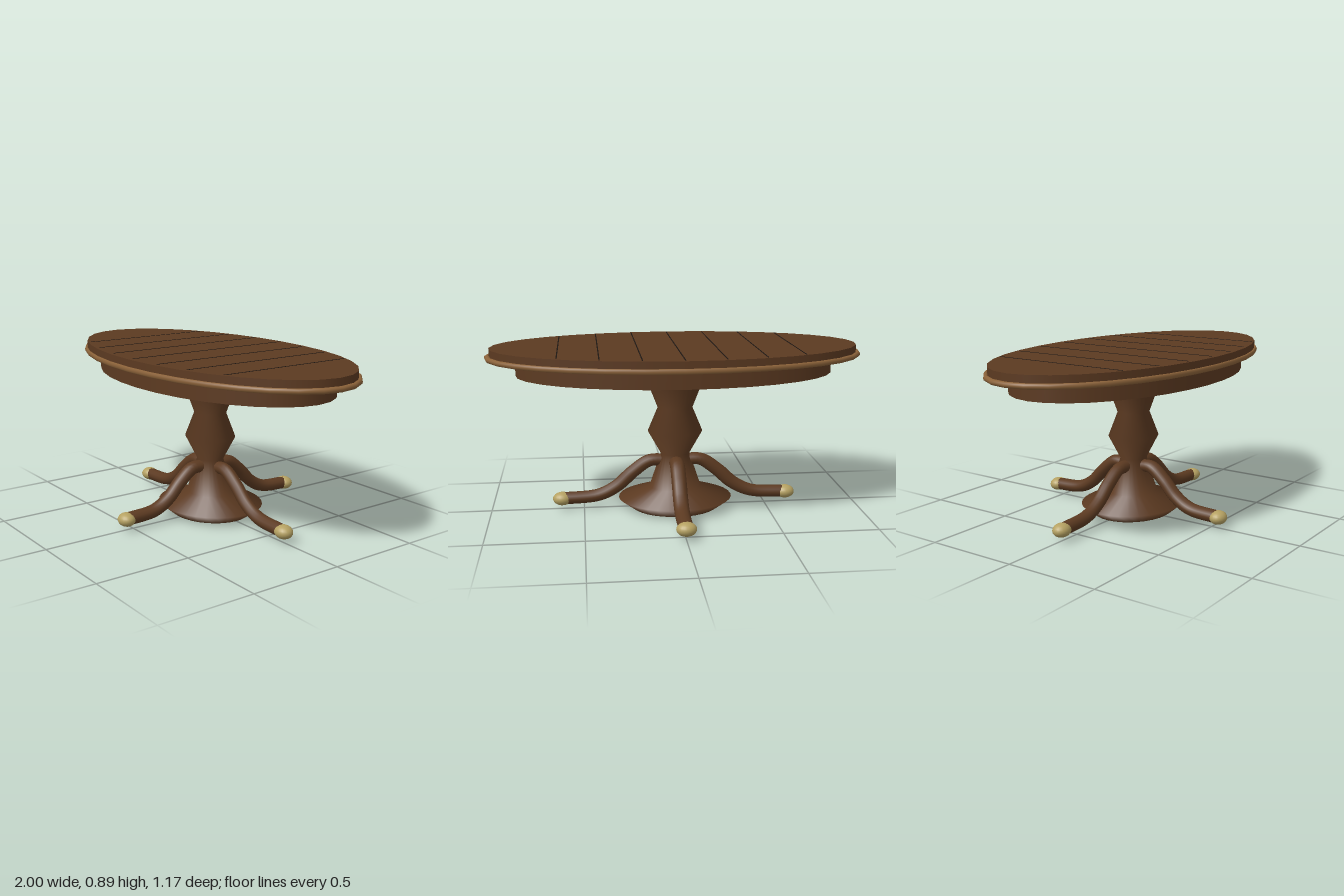
import * as THREE from 'three';

const wood = new THREE.MeshStandardMaterial({ color: 0x5c3a21, side: THREE.DoubleSide });
wood.name = 'dark wood';
const trim = new THREE.MeshStandardMaterial({ color: 0x8b6239 });
trim.name = 'light wood trim';
const brass = new THREE.MeshStandardMaterial({ color: 0xb5a162 });
brass.name = 'brass';
const seamDark = new THREE.MeshStandardMaterial({ color: 0x1e1712 });
seamDark.name = 'seam';

const DEPTH = 0.87; // the base is slightly shallower than it is wide

function add(parent, name, geometry, material) {
  const mesh = new THREE.Mesh(geometry, material);
  mesh.name = name;
  parent.add(mesh);
  return mesh;
}

// Upright oval slab between two heights
function oval(parent, name, rx, rz, y0, y1) {
  const slab = add(parent, name, new THREE.CylinderGeometry(1, 1, y1 - y0, 32), wood);
  slab.scale.set(rx, 1, rz);
  slab.position.y = (y0 + y1) / 2;
}

function createTop() {
  const top = new THREE.Group();
  top.name = 'top';
  oval(top, 'tabletop', 0.975, 0.505, 0.832, 0.893);
  oval(top, 'apron', 0.842, 0.462, 0.745, 0.835);

  // Rounded moulding around the edge
  const ring = new THREE.TorusGeometry(0.985, 0.015, 10, 32).rotateX(Math.PI / 2);
  const moulding = add(top, 'edgeMoulding', ring, trim);
  moulding.scale.set(1, 0.95, 0.517);
  moulding.position.y = 0.843;

  // Dark seams between the planks
  for (let i = -3; i <= 3; i++) {
    const x = i * 0.206;
    const length = 2 * 0.48 * Math.sqrt(1 - (x / 1.0) ** 2);
    const seam = add(top, 'plankSeam', new THREE.BoxGeometry(0.006, 0.004, length), seamDark);
    seam.position.set(x, 0.8925, 0);
  }
  return top;
}

// Turned column with a flared, hollow base
function createPedestal() {
  const profile = [
    [0.235, 0], [0.31, 0.055], [0.14, 0.115], [0.078, 0.3],
    [0.148, 0.425], [0.094, 0.555], [0.168, 0.746],
  ].map(([r, y]) => new THREE.Vector2(r, y));
  const mesh = new THREE.Mesh(new THREE.LatheGeometry(profile, 32), wood);
  mesh.name = 'pedestal';
  mesh.scale.z = DEPTH;
  return mesh;
}

// Four swept legs with brass toes
function createLegs() {
  const legs = new THREE.Group();
  legs.name = 'legs';
  legs.scale.set(1, 0.85, DEPTH);
  const path = new THREE.CatmullRomCurve3([
    [0.06, 0.262], [0.14, 0.26], [0.23, 0.2], [0.32, 0.12], [0.42, 0.072], [0.62, 0.057],
  ].map(([x, y]) => new THREE.Vector3(x, y / 0.85, 0)));
  const tube = new THREE.TubeGeometry(path, 32, 0.04, 12);
  const toe = new THREE.SphereGeometry(0.052, 20, 14);
  for (let i = 0; i < 4; i++) {
    const leg = new THREE.Group();
    leg.name = 'leg';
    leg.rotation.y = i * Math.PI / 2;
    add(leg, 'sweptLeg', tube, wood);
    const foot = add(leg, 'brassToe', toe, brass);
    foot.scale.y = 0.82;
    foot.position.set(0.618, 0.057 / 0.85, 0);
    legs.add(leg);
  }
  return legs;
}

export function createModel() {
  const table = new THREE.Group();
  table.name = 'pedestalTable';
  table.add(createTop(), createPedestal(), createLegs());
  return table;
}
